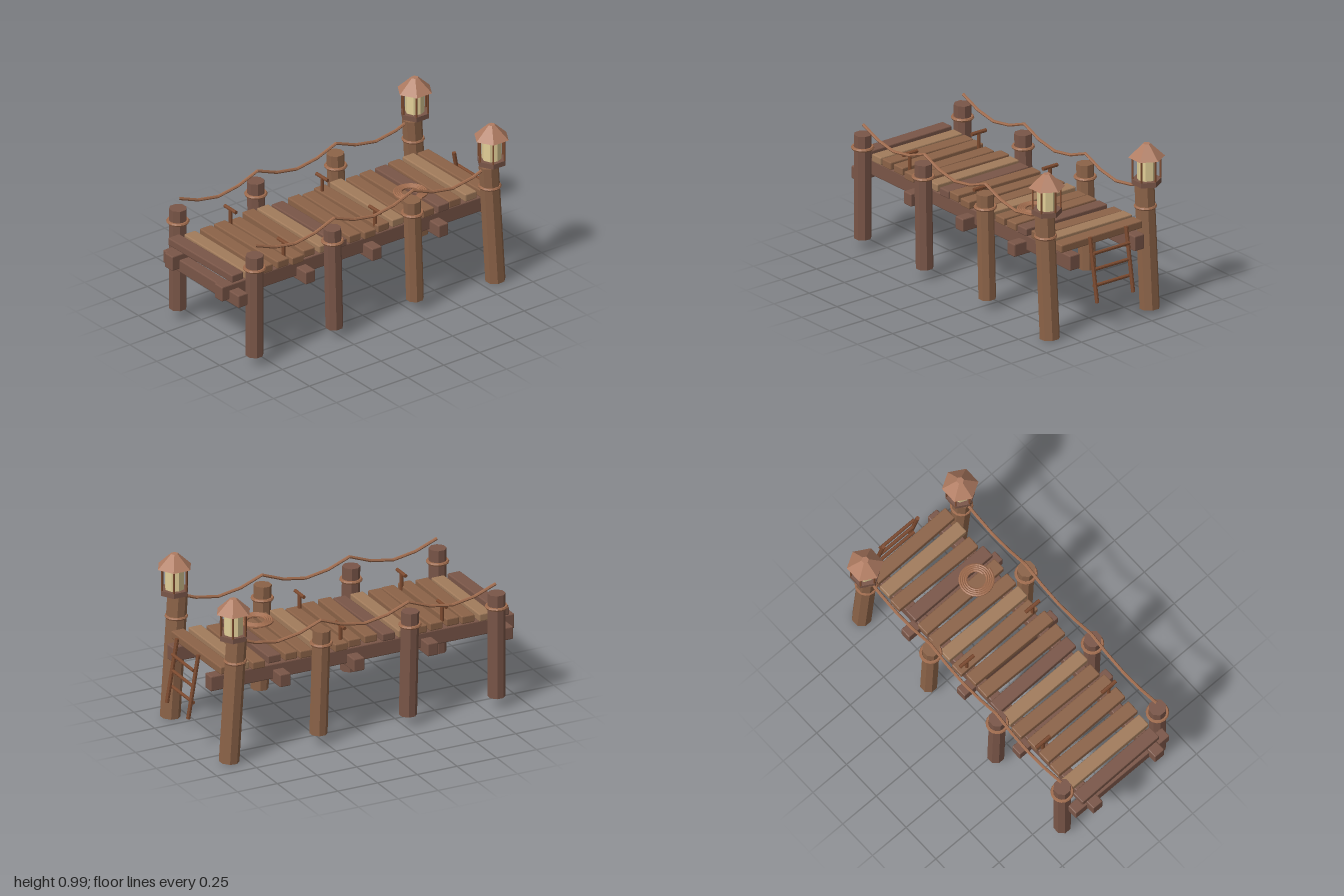
import * as THREE from 'three';
import { RoundedBoxGeometry } from 'three/addons/geometries/RoundedBoxGeometry.js';

const mat = (color) => new THREE.MeshStandardMaterial({ color, flatShading: true });
const M = {
  dark: mat(0x7a5648), mid: mat(0x8c6348), light: mat(0xa27c5c),
  rope: mat(0xa06c4e), roof: mat(0xb07c62), iron: mat(0x7c4a2f), glass: mat(0xe2cf98),
};

export function createModel() {
  const root = new THREE.Group();
  root.name = 'pier';

  const add = (name, geo, material, x = 0, y = 0, z = 0, parent = root) => {
    const mesh = new THREE.Mesh(geo, material);
    mesh.name = name;
    mesh.position.set(x, y, z);
    parent.add(mesh);
    return mesh;
  };
  // Box with chamfered edges
  const beam = (name, w, h, d, material, x, y, z) =>
    add(name, new RoundedBoxGeometry(w, h, d, 1, 0.006), material, x, y, z);
  // Round bar between two points
  const bar = (name, a, b, r, material, sides = 8, parent = root) => {
    const from = new THREE.Vector3(...a), to = new THREE.Vector3(...b);
    const dir = to.clone().sub(from);
    const geo = new THREE.CylinderGeometry(r, r, dir.length(), sides);
    geo.rotateY(Math.PI / sides);
    const mesh = add(name, geo, material, 0, 0, 0, parent);
    mesh.position.copy(from).add(to).multiplyScalar(0.5);
    mesh.quaternion.setFromUnitVectors(new THREE.Vector3(0, 1, 0), dir.normalize());
    return mesh;
  };

  // Stringers and cross beams
  for (const x of [-0.23, 0.23]) beam('stringer', 0.07, 0.09, 1.91, M.dark, x, 0.447, 0.04);
  for (const z of [0.91, 0.44, -0.025, -0.49]) beam('crossBeam', 0.7, 0.077, 0.067, M.dark, 0, 0.419, z);

  // Deck planks, slightly uneven in place, height and turn
  const shift = [0.002, -0.004, -0.011, 0.01, 0.006];
  const lightPlanks = [1, 6, 11, 16], darkPlanks = [3, 10, 17];
  for (let i = 0; i < 18; i++) {
    const m = lightPlanks.includes(i) ? M.light : darkPlanks.includes(i) ? M.dark : M.mid;
    const p = beam('plank', 0.582, 0.046, 0.08, m,
      shift[i % 5], 0.527 + 0.005 * Math.sin(i * 2.3), -0.83 + i * 0.1018);
    p.rotation.y = 0.018 * Math.sin(i * 1.9 + 1);
  }

  // Posts with rope rings: [bottom y, bottom z, top y, top z, radius, material]
  const posts = [
    [0.06, 0.835, 0.685, 0.835, 0.051, M.dark],
    [0.06, 0.278, 0.685, 0.292, 0.051, M.dark],
    [0.06, -0.285, 0.685, -0.265, 0.051, M.mid],
    [0.002, -0.847, 0.738, -0.8, 0.058, M.mid],
  ];
  const postZ = [0.83, 0.28, -0.27, -0.82];
  for (const x of [-0.355, 0.355]) {
    for (const [y0, z0, y1, z1, r, m] of posts) {
      bar('post', [x, y0, z0], [x, y1, z1], r, m);
      const ring = new THREE.TorusGeometry(0.056, 0.01, 6, 16).rotateX(Math.PI / 2);
      add('postRopeRing', ring, M.rope, x, 0.605, z0 + (z1 - z0) * (0.605 - y0) / (y1 - y0));
    }
    // Sagging hand rope
    const path = new THREE.CurvePath();
    const pts = [];
    for (let i = 0; i <= 12; i++) {
      const t = (i % 4) / 4;
      pts.push(new THREE.Vector3(x, 0.743 - 0.075 * Math.sin(Math.PI * t), postZ[0] - i * 0.1375));
    }
    for (let i = 0; i < 12; i++) path.add(new THREE.LineCurve3(pts[i], pts[i + 1]));
    add('handRope', new THREE.TubeGeometry(path, 12, 0.009, 6), M.rope);

    // Lantern on the tall post
    const lantern = new THREE.Group();
    lantern.name = 'lantern';
    lantern.position.set(x, 0, -0.82);
    root.add(lantern);
    add('lanternBase', new THREE.CylinderGeometry(0.085, 0.085, 0.03, 6), M.dark, 0, 0.759, 0, lantern);
    add('lanternGlass', new THREE.CylinderGeometry(0.055, 0.055, 0.135, 8), M.glass, 0, 0.84, 0, lantern);
    add('lanternRoof', new THREE.CylinderGeometry(0.021, 0.104, 0.08, 6), M.roof, 0, 0.945, 0, lantern);
    for (let i = 0; i < 6; i++) {
      const a = i * Math.PI / 3, px = 0.079 * Math.sin(a), pz = 0.079 * Math.cos(a);
      bar('lanternRod', [px, 0.77, pz], [px, 0.908, pz], 0.0055, M.iron, 6, lantern);
    }
  }

  // Mooring cleats
  for (const s of [-1, 1]) for (const z of [0.55, -0.09]) {
    bar('cleatStem', [s * 0.245, 0.53, z], [s * 0.245, 0.633, z], 0.011, M.iron);
    bar('cleatBar', [s * 0.193, 0.633, z], [s * 0.297, 0.633, z], 0.011, M.iron);
  }

  // Coiled rope lying on the deck
  const coil = [];
  for (let i = 0; i <= 64; i++) {
    const a = i / 16 * Math.PI * 2, r = 0.098 - 0.046 * i / 64;
    coil.push(new THREE.Vector3(r * Math.cos(a), 0, r * Math.sin(a)));
  }
  add('ropeCoil', new THREE.TubeGeometry(new THREE.CatmullRomCurve3(coil), 96, 0.0085, 6), M.rope, 0.127, 0.587, -0.43);

  // Ladder leaning against the far end
  for (const x of [-0.128, 0.128]) bar('ladderRail', [x, 0.575, -0.922], [x, 0.2, -0.986], 0.012, M.iron);
  for (const y of [0.485, 0.388, 0.29]) bar('ladderRung', [-0.128, y, -0.952], [0.128, y, -0.952], 0.01, M.iron);

  return root;
}
